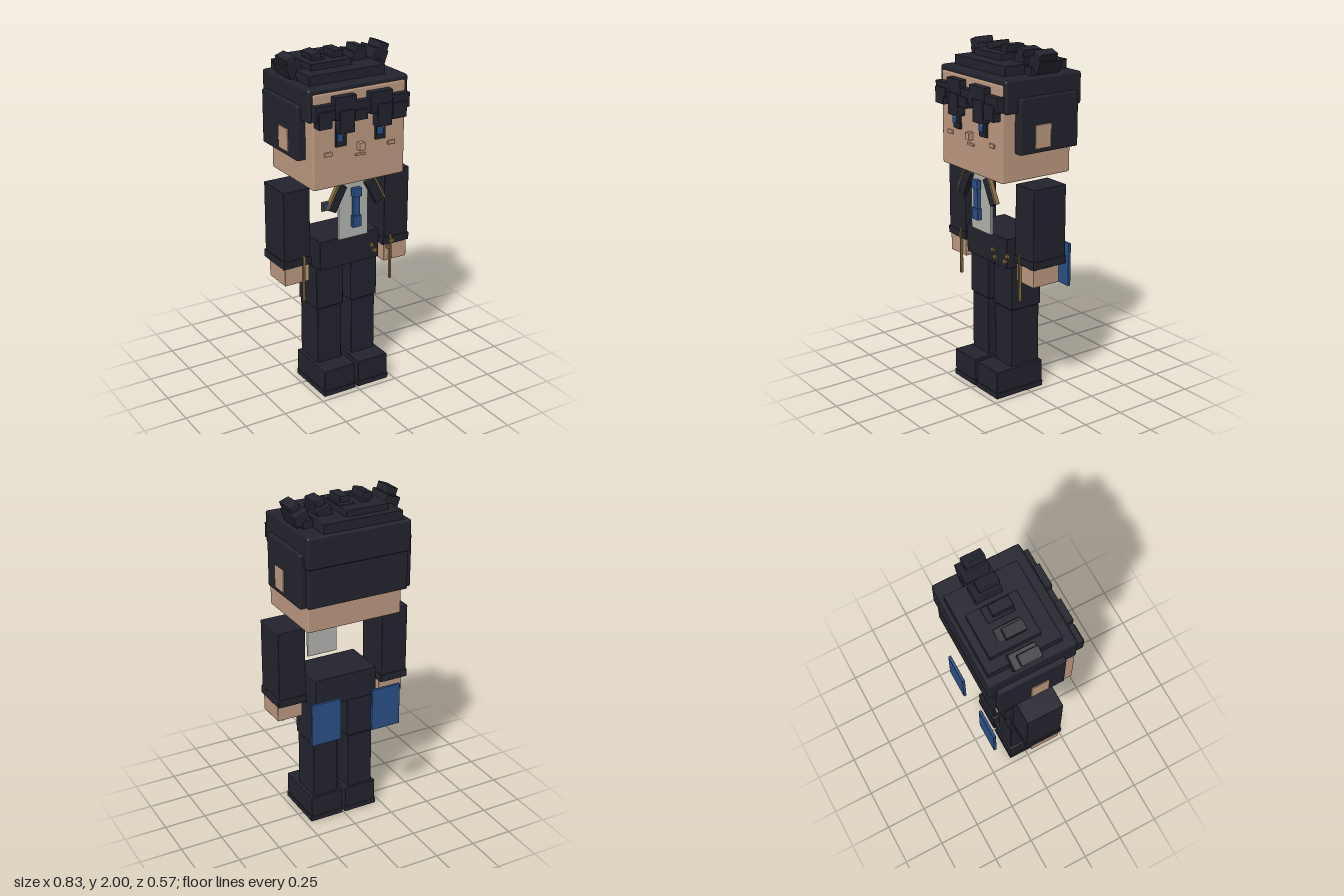
import * as THREE from 'three';
import { RoundedBoxGeometry } from 'three/addons/geometries/RoundedBoxGeometry.js';

const paint = (name, color) => {
  const m = new THREE.MeshStandardMaterial({ color });
  m.name = name;
  return m;
};

export function createModel() {
  const navy = paint('dark navy', 0x22232d);
  const skin = paint('skin', 0xbd9981);
  const blue = paint('blue', 0x2a5088);
  const gold = paint('gold', 0x8a7042);
  const shirt = paint('shirt grey', 0xb2b4af);
  const white = paint('eye white', 0xe4e8ec);

  const model = new THREE.Group();
  model.name = 'blockFigure';
  const group = (name) => {
    const g = new THREE.Group();
    g.name = name;
    model.add(g);
    return g;
  };

  // Box given by its limits on each axis, with a small chamfer
  const box = (parent, name, mat, [x0, x1], [y0, y1], [z0, z1], bevel = 0.004, tilt = 0) => {
    const w = x1 - x0, h = y1 - y0, d = z1 - z0;
    const r = Math.min(bevel, w / 5, h / 5, d / 5);
    const mesh = new THREE.Mesh(new RoundedBoxGeometry(w, h, d, 1, r), mat);
    mesh.name = name;
    mesh.position.set((x0 + x1) / 2, (y0 + y1) / 2, (z0 + z1) / 2);
    mesh.rotation.z = tilt;
    parent.add(mesh);
    return mesh;
  };
  // Limits mirrored to the wanted side
  const side = (s, a, b) => (s > 0 ? [a, b] : [-b, -a]);

  // Head and neck
  const head = group('head');
  box(head, 'skull', skin, [-0.29, 0.29], [1.3, 1.835], [-0.23, 0.23], 0.01);
  box(head, 'neck', skin, [-0.075, 0.075], [1.26, 1.31], [-0.09, 0.08]);
  box(head, 'nose', skin, [-0.018, 0.018], [1.49, 1.535], [0.22, 0.26]);
  box(head, 'mouth', skin, [-0.032, 0.032], [1.457, 1.47], [0.22, 0.24]);

  // Eyes, cheeks and ears
  for (const s of [1, -1]) {
    box(head, 'eye', navy, side(s, 0.093, 0.158), [1.53, 1.65], [0.225, 0.244]);
    box(head, 'cheek', skin, side(s, 0.177, 0.225), [1.485, 1.508], [0.22, 0.24]);
    box(head, 'ear', skin, side(s, 0.3, 0.346), [1.48, 1.61], [-0.055, 0.05]);
  }
  box(head, 'iris', blue, [0.098, 0.138], [1.56, 1.62], [0.244, 0.252]);
  box(head, 'iris', blue, [-0.153, -0.118], [1.56, 1.62], [0.244, 0.252]);
  box(head, 'eyeHighlight', white, [0.132, 0.144], [1.6, 1.615], [0.252, 0.256]);
  box(head, 'eyeHighlight', white, [-0.124, -0.112], [1.6, 1.615], [0.252, 0.256]);

  // Hair cap, back, sides and stepped crown
  const hair = group('hair');
  box(hair, 'hairCap', navy, [-0.313, 0.313], [1.68, 1.862], [-0.285, 0.222], 0.014);
  box(hair, 'hairBack', navy, [-0.305, 0.305], [1.455, 1.69], [-0.27, -0.2], 0.01);
  for (const s of [1, -1]) {
    box(hair, 'hairSide', navy, side(s, 0.28, 0.34), [1.455, 1.762], [-0.243, 0.146], 0.008);
  }
  box(hair, 'crownLower', navy, [-0.268, 0.208], [1.85, 1.915], [-0.265, 0.155]);
  box(hair, 'crownUpper', navy, [-0.207, 0.052], [1.9, 1.95], [-0.222, 0.067]);
  box(hair, 'crownRidge', navy, [-0.27, 0.27], [1.85, 1.905], [-0.145, 0.025]);

  // Upright tufts leaning outwards
  for (const [x, tilt] of [[-0.27, 0.35], [-0.125, 0.18], [0, 0], [0.135, -0.18], [0.27, -0.35]]) {
    box(hair, 'tuftBase', navy, [x - 0.045, x + 0.045], [1.88, 1.955], [-0.143, 0.01], 0.004, tilt);
    const lean = -Math.sin(tilt) * 0.06;
    box(hair, 'tuftTip', navy, [x + lean - 0.03, x + lean + 0.03], [1.925, 1.99], [-0.108, 0.01], 0.004, tilt);
  }

  // Fringe: upper row, then hanging locks [x0, x1, y0, y1, front z]
  for (const [x0, x1, y0, y1, z] of [
    [-0.295, -0.175, 1.69, 1.78, 0.268], [-0.18, -0.045, 1.69, 1.815, 0.272],
    [-0.05, 0.045, 1.7, 1.775, 0.268], [0.04, 0.182, 1.69, 1.81, 0.272],
    [0.175, 0.295, 1.69, 1.775, 0.268],
    [-0.283, -0.2, 1.655, 1.75, 0.28], [-0.22, -0.18, 1.7, 1.75, 0.28],
    [-0.155, -0.06, 1.612, 1.74, 0.28], [-0.07, 0.022, 1.67, 1.73, 0.276],
    [0.082, 0.175, 1.612, 1.74, 0.28], [0.18, 0.272, 1.64, 1.73, 0.276],
  ]) box(hair, 'fringeLock', navy, [x0, x1], [y0, y1], [0.215, z]);

  // Shirt front, tie, lapels and badge
  const chest = group('chest');
  box(chest, 'shirtFront', shirt, [-0.095, 0.095], [0.95, 1.285], [0.152, 0.17]);
  box(chest, 'tieKnot', blue, [-0.027, 0.027], [1.205, 1.258], [0.185, 0.215]);
  box(chest, 'tieMiddle', blue, [-0.021, 0.021], [1.09, 1.21], [0.185, 0.208]);
  box(chest, 'tieEnd', blue, [-0.029, 0.029], [1.025, 1.095], [0.185, 0.212]);
  for (const s of [1, -1]) {
    const tilt = s * 0.48;
    box(chest, 'lapel', navy, side(s, 0.092, 0.152), [1.137, 1.293], [0.172, 0.2], 0.003, tilt);
    box(chest, 'lapelTrim', gold, side(s, 0.147, 0.159), [1.15, 1.303], [0.178, 0.204], 0.002, tilt);
  }
  box(chest, 'badgeFrame', gold, [-0.212, -0.164], [1.152, 1.206], [0.17, 0.186]);
  box(chest, 'badge', blue, [-0.206, -0.168], [1.162, 1.2], [0.18, 0.192]);

  // Arms
  for (const s of [1, -1]) {
    const arm = group(s > 0 ? 'leftArm' : 'rightArm');
    box(arm, 'sleeve', navy, side(s, 0.245, 0.41), [0.86, 1.275], [-0.11, 0.11]);
    box(arm, 'cuff', navy, side(s, 0.239, 0.417), [0.82, 0.867], [-0.114, 0.114]);
    box(arm, 'hand', skin, side(s, 0.25, 0.405), [0.715, 0.83], [-0.073, 0.105]);
  }

  // Hips, coat tails, gold edging and buttons
  const waist = group('waist');
  box(waist, 'hips', navy, [-0.195, 0.195], [0.77, 0.945], [-0.135, 0.132]);
  for (const s of [1, -1]) {
    box(waist, 'coatTail', blue, side(s, 0.1, 0.283), [0.612, 0.87], [-0.256, -0.238]);
    box(waist, 'coatEdging', gold, side(s, 0.282, 0.295), [0.602, 0.88], [0.103, 0.12]);
  }
  for (const [x, y] of [[0.118, 0.875], [0.141, 0.838], [0.234, 0.838], [0.256, 0.872]]) {
    box(waist, 'button', gold, [x - 0.013, x + 0.013], [y - 0.011, y + 0.011], [0.166, 0.182]);
  }

  // Legs and shoes
  for (const s of [1, -1]) {
    const leg = group(s > 0 ? 'leftLeg' : 'rightLeg');
    box(leg, 'thigh', navy, side(s, 0.025, 0.202), [0.515, 0.772], [-0.1, 0.102]);
    box(leg, 'shin', navy, side(s, 0.035, 0.193), [0.16, 0.51], [-0.096, 0.097]);
    box(leg, 'shoe', navy, side(s, 0.012, 0.213), [0.03, 0.163], [-0.108, 0.212]);
    box(leg, 'sole', navy, side(s, 0.008, 0.218), [0, 0.034], [-0.111, 0.216]);
  }
  return model;
}
